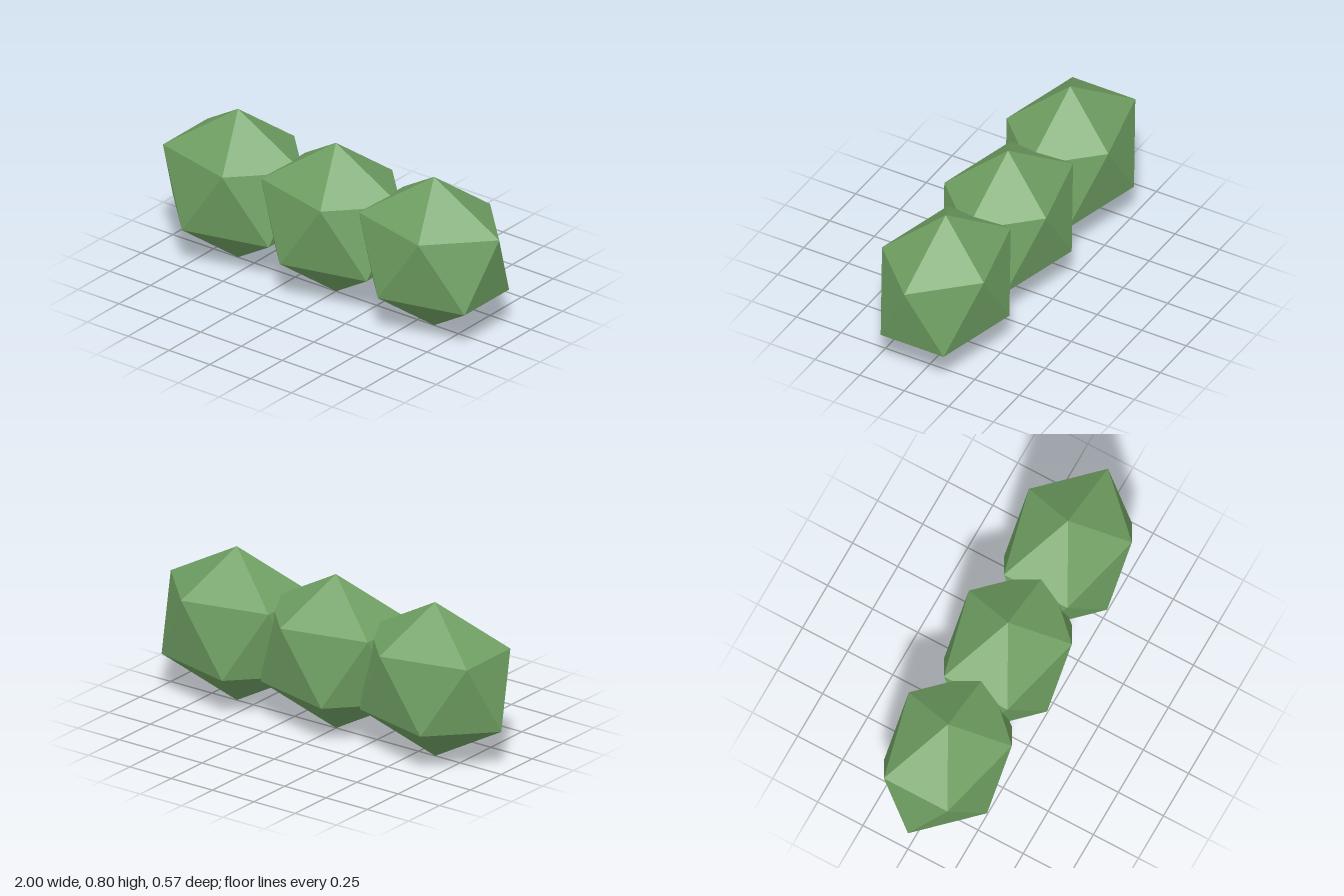
import * as THREE from 'three';

export function createModel() {
  const group = new THREE.Group();
  group.name = 'hedge';
  const leafGreen = new THREE.MeshStandardMaterial({ color: 0x6f9f62, flatShading: true });
  leafGreen.name = 'leaf green';

  // Icosahedron turned to stand on a corner, then squashed in height and depth
  const clump = new THREE.IcosahedronGeometry(0.4472, 0);
  clump.rotateZ(-Math.atan2(2, 1 + Math.sqrt(5)));
  clump.scale(1, 0.9, 0.75);
  clump.computeBoundingBox();
  clump.translate(0, -clump.boundingBox.min.y, 0);
  clump.computeVertexNormals();

  // Three overlapping clumps in a row
  ['rightClump', 'middleClump', 'leftClump'].forEach((name, i) => {
    const mesh = new THREE.Mesh(clump, leafGreen);
    mesh.name = name;
    mesh.position.x = (i - 1) * 0.6;
    group.add(mesh);
  });
  return group;
}
